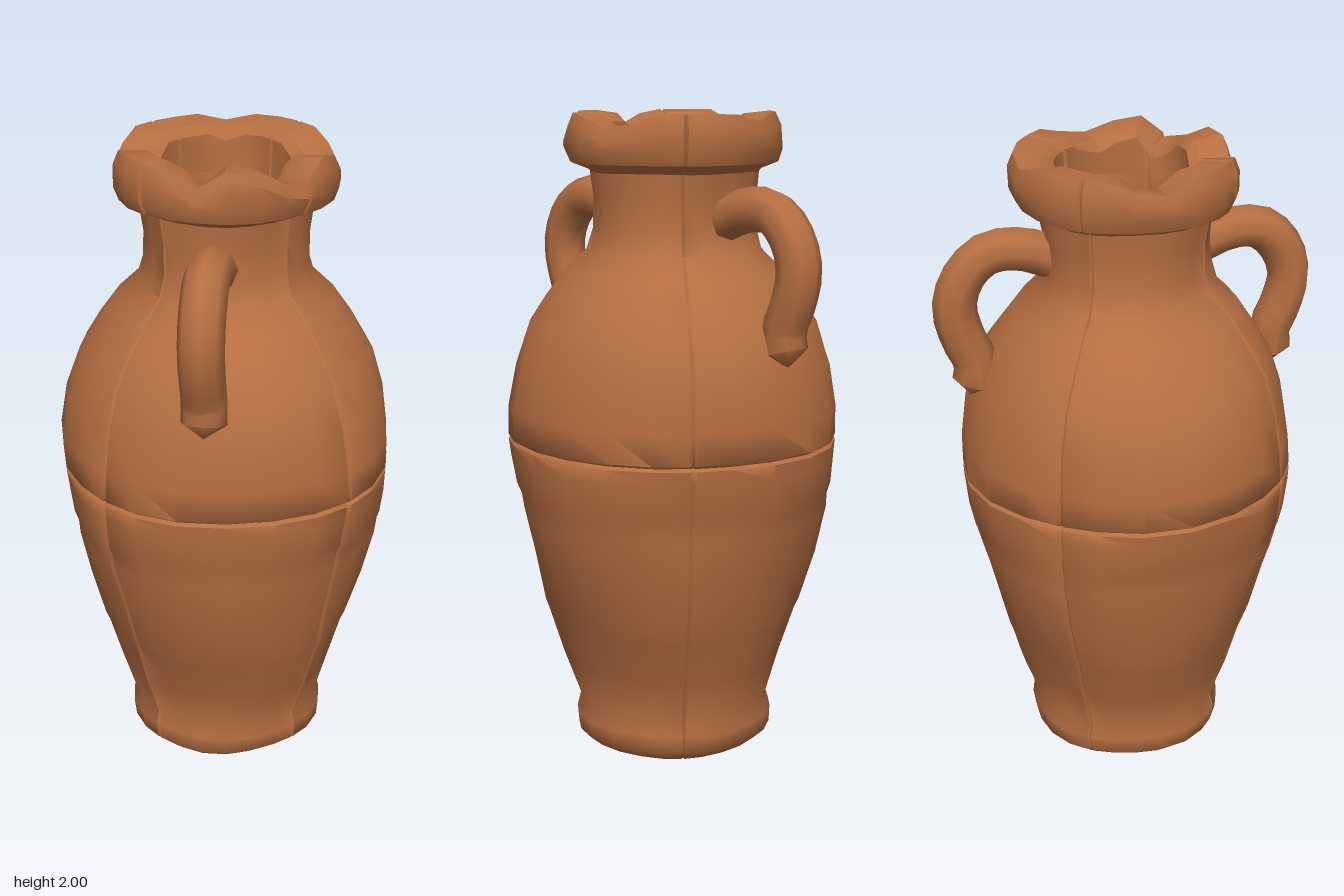
import * as THREE from 'three';
import { toCreasedNormals } from 'three/addons/utils/BufferGeometryUtils.js';

const clay = new THREE.MeshStandardMaterial({ color: 0xb56e41 });
clay.name = 'terracotta';

// Angles round the pot: narrow steps beside the four vertical cracks
const ANGLES = [];
for (let q = 0; q < 4; q++)
  for (const f of [0, 0.013, 0.15, 0.32, 0.5, 0.68, 0.85, 0.987]) ANGLES.push((q + f) * Math.PI / 2);

// Turned surface from [radius, height] points; warp adjusts each point by angle
function turned(profile, warp, crease) {
  const pos = [], index = [], n = ANGLES.length;
  profile.forEach(([r, y], row) => ANGLES.forEach((a, i) => {
    const [r2, y2] = warp(r, y, a, i % 8 === 0, row);
    pos.push(r2 * Math.sin(a), y2, r2 * Math.cos(a));
  }));
  for (let row = 0; row < profile.length - 1; row++)
    for (let i = 0; i < n; i++) {
      const a = row * n + i, b = row * n + (i + 1) % n;
      index.push(a, b, a + n, b, b + n, a + n);
    }
  const geo = new THREE.BufferGeometry();
  geo.setAttribute('position', new THREE.Float32BufferAttribute(pos, 3));
  geo.setIndex(index);
  return toCreasedNormals(geo, crease);
}

// Uneven, hand-worn surface with a groove along each crack
function worn(r, y, a, crack) {
  if (r < 0.02) return [r, y];
  const wobble = 0.005 * Math.sin(3 * a + 7 * y) + 0.004 * Math.sin(5 * a - 11 * y);
  return [r + wobble - (crack ? 0.009 : 0), y];
}

// Chips broken out of the lip: [angle, half width, depth]
const CHIPS = [[-0.1, 0.3, 0.08], [0.85, 0.5, 0.05], [-1.1, 0.3, 0.06], [-2.47, 0.3, 0.07], [2.3, 0.25, 0.03]];
function chipped(r, y, a, crack, row) {
  let drop = 0;
  for (const [c, w, d] of CHIPS) {
    const off = Math.abs(Math.atan2(Math.sin(a - c), Math.cos(a - c)));
    drop = Math.max(drop, d * Math.max(0, 1 - off / w));
  }
  const top = row >= 4 && row <= 7;
  const [r2] = worn(r, y, a, crack);
  return [r2, top ? y - drop - (crack ? 0.006 : 0) : y];
}

// Loop handle in the plane of its own radius, ends sunk or pinched shut
function handle() {
  const path = new THREE.CatmullRomCurve3([
    [0.21, 1.68], [0.32, 1.72], [0.42, 1.715], [0.49, 1.65],
    [0.52, 1.56], [0.5, 1.46], [0.465, 1.37], [0.485, 1.27],
  ].map(([r, y]) => new THREE.Vector3(r, y, 0)));
  const steps = 16, sides = 8;
  const geo = new THREE.TubeGeometry(path, steps, 0.067, sides);
  const p = geo.attributes.position, end = path.getPoint(1);
  for (let i = steps * (sides + 1); i < p.count; i++) p.setXYZ(i, end.x, end.y, end.z);
  geo.computeVertexNormals();
  geo.deleteAttribute('uv');
  geo.deleteAttribute('normal');
  return toCreasedNormals(geo, 0.95);
}

export function createModel() {
  const pot = new THREE.Group();
  pot.name = 'amphora';
  const add = (geo, name) => {
    const mesh = new THREE.Mesh(geo, clay);
    mesh.name = name;
    pot.add(mesh);
    return mesh;
  };

  // Foot, belly with ledges and equator groove, shoulder, neck
  add(turned([
    [0, 0.0], [0.27, 0.0], [0.31, 0.035], [0.315, 0.09], [0.302, 0.135], [0.352, 0.28],
    [0.398, 0.43], [0.41, 0.46], [0.45, 0.62], [0.484, 0.77], [0.488, 0.815], [0.5, 0.85],
    [0.51, 0.95], [0.513, 0.992], [0.502, 1.0], [0.513, 1.008], [0.512, 1.1], [0.492, 1.23],
    [0.452, 1.35], [0.4, 1.43], [0.335, 1.52], [0.27, 1.585], [0.25, 1.65], [0.248, 1.74], [0.262, 1.85],
  ], worn, 1.0), 'body');

  // Thick lip, with chipped upper edge
  add(turned([
    [0.24, 1.8], [0.265, 1.83], [0.318, 1.85], [0.334, 1.89], [0.334, 1.96],
    [0.318, 1.998], [0.23, 1.99], [0.2, 1.965], [0.195, 1.85],
  ], chipped, 0.6), 'lip');

  // Hollow inside, listed downwards so that it faces inwards
  add(turned([
    [0.195, 1.85], [0.18, 1.7], [0.2, 1.58], [0.34, 1.38], [0.43, 1.12], [0.43, 0.9],
    [0.34, 0.48], [0.23, 0.16], [0.15, 0.1], [0, 0.08],
  ], worn, 1.0), 'inside');

  // Two handles on opposite sides
  const geo = handle();
  ['leftHandle', 'rightHandle'].forEach((name, i) => {
    add(geo, name).rotation.y = THREE.MathUtils.degToRad(37.5) + i * Math.PI;
  });
  return pot;
}
